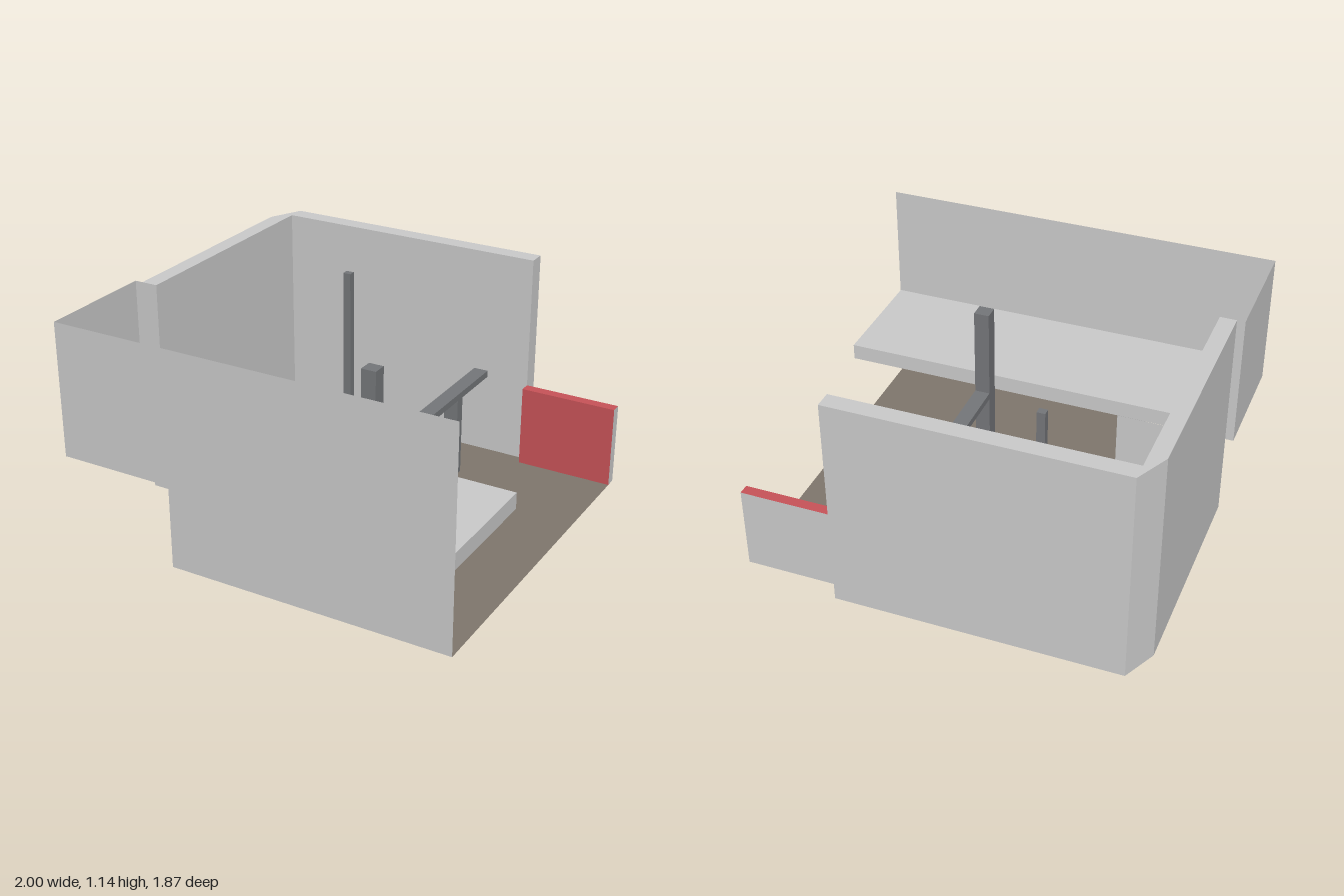
import * as THREE from 'three';

const FLOOR = 0.06, TOP = 1.143, SILL = 0.475;

const mat = (color) => new THREE.MeshStandardMaterial({ color, side: THREE.DoubleSide });

export function createModel() {
  const model = new THREE.Group();
  const grey = mat(0xcccccc), dark = mat(0x75777a), brown = mat(0x7f776d), red = mat(0xc85358);

  const add = (name, geometry, material) => {
    const mesh = new THREE.Mesh(geometry, material);
    mesh.name = name;
    model.add(mesh);
    return mesh;
  };
  // Box given by its limits on each axis
  const box = (name, [x0, x1], [y0, y1], [z0, z1], material) =>
    add(name, new THREE.BoxGeometry(x1 - x0, y1 - y0, z1 - z0)
      .translate((x0 + x1) / 2, (y0 + y1) / 2, (z0 + z1) / 2), material);
  const outline = (points) => new THREE.Shape(points.map(([a, b]) => new THREE.Vector2(a, b)));
  // Thin upright panel between two plan points
  const panel = (name, [xa, za], [xb, zb], y0, y1) => {
    const geometry = new THREE.PlaneGeometry(Math.hypot(xb - xa, zb - za), y1 - y0);
    geometry.rotateY(-Math.atan2(zb - za, xb - xa));
    geometry.translate((xa + xb) / 2, (y0 + y1) / 2, (za + zb) / 2);
    return add(name, geometry, grey);
  };

  // L-shaped floor, drawn in plan (x, z)
  add('floor', new THREE.ShapeGeometry(outline([
    [-0.88, -0.85], [1, -0.85], [1, 0.93], [-0.42, 0.93], [-0.42, 0.34], [-0.88, 0.34],
  ])).rotateX(Math.PI / 2).translate(0, FLOOR, 0), brown);

  // Thick side and back wall with a chamfered outer corner
  add('sideAndBackWall', new THREE.ExtrudeGeometry(outline([
    [-0.96, 0.34], [-0.96, -0.77], [-0.88, -0.935], [0.51, -0.935],
    [0.51, -0.85], [-0.88, -0.85], [-0.88, 0.34],
  ]), { depth: TOP - FLOOR, bevelEnabled: false }).rotateX(Math.PI / 2).translate(0, TOP, 0), grey);

  // Thin front wall with a lower notch
  add('frontWall', new THREE.ShapeGeometry(outline([
    [-1, 0.48], [-0.42, 0.48], [-0.42, FLOOR], [1, FLOOR], [1, TOP], [-1, TOP],
  ])).translate(0, 0, 0.93), grey);

  // Overhanging bay and the recess beneath it
  panel('baySide', [-1, 0.34], [-1, 0.93], SILL, TOP);
  panel('bayReturn', [-1, 0.34], [-0.96, 0.34], SILL, TOP);
  panel('recessSide', [-0.42, 0.34], [-0.42, 0.93], FLOOR, SILL);
  panel('recessBack', [-0.96, 0.341], [-0.42, 0.341], FLOOR, SILL);
  box('shelf', [-0.998, 0.998], [SILL, 0.555], [0.342, 0.928], grey);

  // Low wall, coloured on its top and inner face
  box('lowWall', [0.51, 1], [FLOOR, SILL], [-0.85, -0.797], [grey, grey, red, grey, red, grey]);

  // Posts and beam
  box('frontPost', [0.215, 0.29], [0.04, 0.955], [0.25, 0.322], dark);
  box('rearPost', [0.215, 0.29], [0, SILL], [-0.562, -0.51], dark);
  box('beam', [0.215, 0.29], [0.473, 0.507], [-0.847, 0.25], dark);
  box('pole', [-0.35, -0.31], [FLOOR, 1.037], [-0.518, -0.483], dark);

  return model;
}
